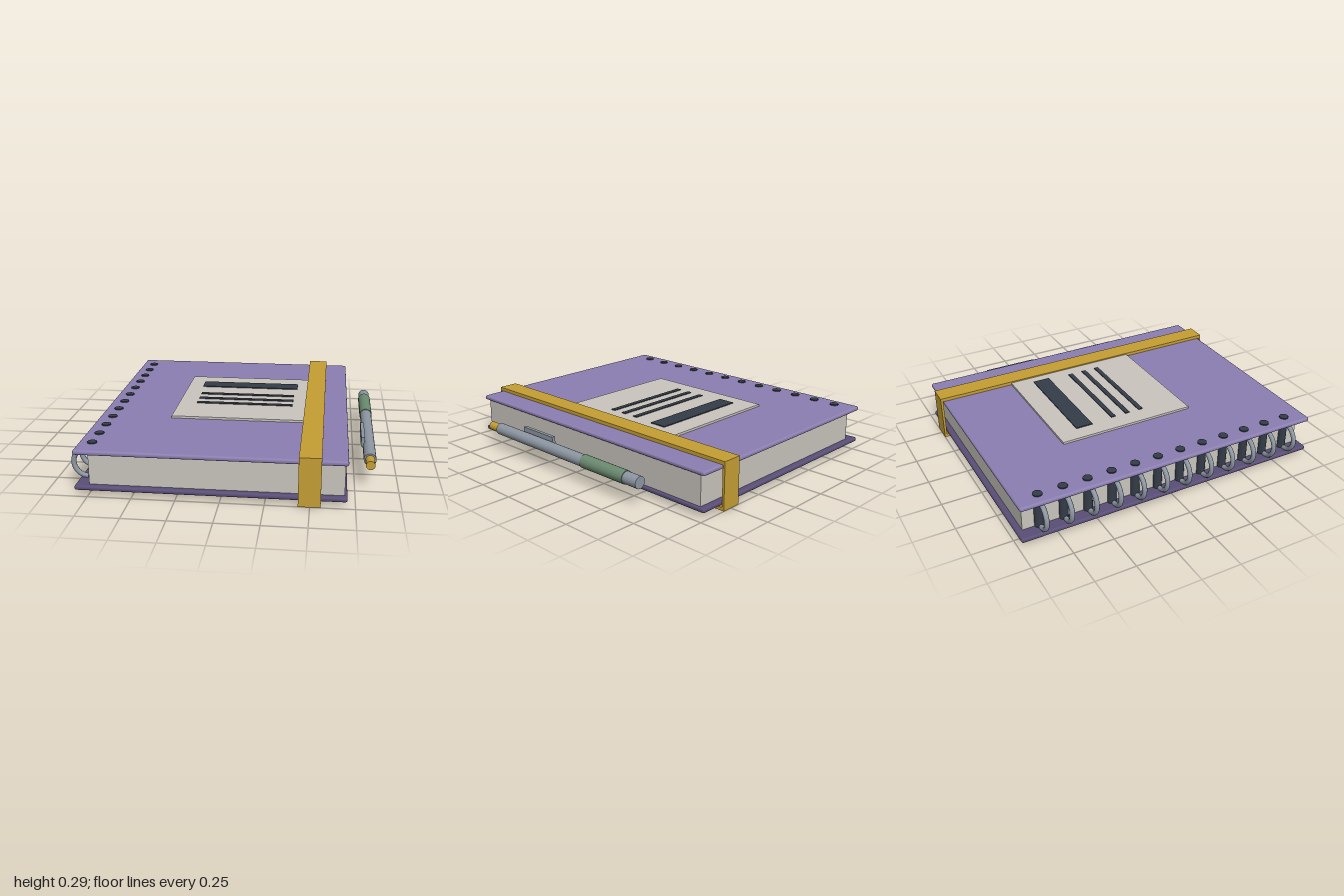
import * as THREE from 'three';
import { RoundedBoxGeometry } from 'three/addons/geometries/RoundedBoxGeometry.js';

const mat = (name, color) => {
  const m = new THREE.MeshStandardMaterial({ color });
  m.name = name;
  return m;
};

export function createModel() {
  const purple = mat('cover purple', 0x8c7fb2);
  const darkPurple = mat('back cover purple', 0x5a4f78);
  const paper = mat('paper', 0xcac6be);
  const gold = mat('gold', 0xc69f34);
  const charcoal = mat('charcoal', 0x343c48);
  const metal = mat('metal', 0x8d97a3);
  const green = mat('green', 0x6c8b72);

  const model = new THREE.Group();
  model.name = 'notebookWithPen';

  const add = (name, geometry, material, x = 0, y = 0, z = 0, parent = model) => {
    const mesh = new THREE.Mesh(geometry, material);
    mesh.name = name;
    mesh.position.set(x, y, z);
    parent.add(mesh);
    return mesh;
  };
  // Box given by its extents on each axis
  const box = (name, material, [x0, x1], [y0, y1], [z0, z1], radius = 0) => {
    const size = [x1 - x0, y1 - y0, z1 - z0];
    const geometry = radius
      ? new RoundedBoxGeometry(...size, 3, radius)
      : new THREE.BoxGeometry(...size);
    return add(name, geometry, material, (x0 + x1) / 2, (y0 + y1) / 2, (z0 + z1) / 2);
  };

  // Covers and page block
  box('backCover', darkPurple, [-0.83, 0.705], [0.027, 0.055], [-0.98, 0.98], 0.012);
  box('frontCover', purple, [-0.83, 0.705], [0.24, 0.268], [-0.98, 0.98], 0.012);
  box('pages', paper, [-0.75, 0.69], [0.05, 0.245], [-0.945, 0.945]);

  // Punched holes and binding rings along the spine
  const holeGeometry = new THREE.CylinderGeometry(0.028, 0.028, 0.255, 20);
  const ringGeometry = new THREE.TorusGeometry(0.086, 0.015, 10, 24, Math.PI);
  ringGeometry.rotateZ(Math.PI / 2);
  for (let i = 0; i < 12; i++) {
    const z = -0.843 + i * 0.1532;
    add('bindingHole', holeGeometry, charcoal, -0.75, 0.1475, z);
    add('bindingRing', ringGeometry, metal, -0.78, 0.1475, z);
  }

  // Cover label with title bar and lines
  box('label', paper, [-0.38, 0.47], [0.266, 0.282], [-0.51, 0.37]);
  box('titleBar', charcoal, [-0.28, 0.37], [0.281, 0.288], [-0.375, -0.265]);
  for (const z of [-0.11, -0.01, 0.085]) {
    box('labelLine', charcoal, [-0.265, 0.355], [0.281, 0.287], [z - 0.015, z + 0.015]);
  }

  // Elastic band wrapped around the book
  const bandX = [0.435, 0.56];
  box('bandTop', gold, bandX, [0.268, 0.29], [-1, 1]);
  box('bandBottom', gold, bandX, [0, 0.02], [-1, 1]);
  box('bandFront', gold, bandX, [0.02, 0.268], [0.985, 1]);
  box('bandBack', gold, bandX, [0.02, 0.268], [-1, -0.985]);

  // Pen lying alongside, tip towards the front
  const pen = new THREE.Group();
  pen.name = 'pen';
  pen.position.set(0.835, 0.147, 0);
  model.add(pen);
  const rod = (name, material, rFront, rBack, z0, z1) => {
    const geometry = new THREE.CylinderGeometry(rFront, rBack, z1 - z0, 24).rotateX(Math.PI / 2);
    add(name, geometry, material, 0, 0, (z0 + z1) / 2, pen);
  };
  rod('penBody', metal, 0.037, 0.037, -0.635, 0.63);
  rod('penGrip', green, 0.041, 0.041, -0.53, -0.18);
  rod('penTip', gold, 0.027, 0.028, 0.63, 0.72);
  add('penClip', new THREE.BoxGeometry(0.022, 0.058, 0.28), metal, -0.036, 0.029, 0.28, pen);

  return model;
}
